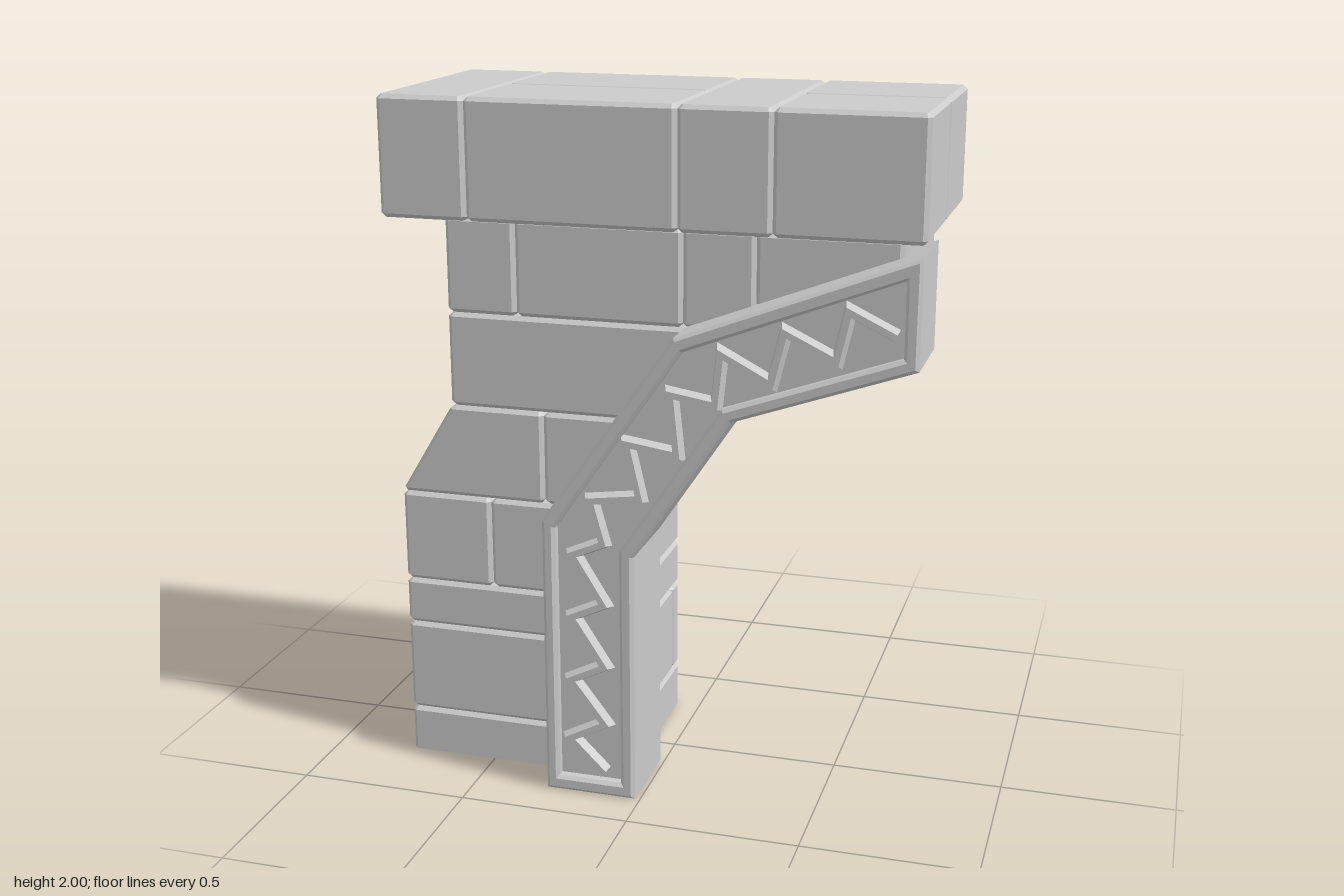
import * as THREE from 'three';

const stone = new THREE.MeshStandardMaterial({ color: 0xcccccc, flatShading: true });
const openStone = new THREE.MeshStandardMaterial({ color: 0xcccccc, flatShading: true, side: THREE.DoubleSide });
const BEVEL = 0.012;

function meshFrom(positions, name, material) {
  const geometry = new THREE.BufferGeometry();
  geometry.setAttribute('position', new THREE.Float32BufferAttribute(positions, 3));
  geometry.computeVertexNormals();
  const mesh = new THREE.Mesh(geometry, material);
  mesh.name = name;
  return mesh;
}

// Bevelled block; left and right ends may slant from bottom to top.
function brick([l0, l1], [r0, r1], y0, y1, z0, z1, openBottom) {
  const b = BEVEL, out = [];
  const ring = (y, inset) => {
    const t = (y - y0) / (y1 - y0), c = inset ? b / 3 : b;
    const l = l0 + (l1 - l0) * t + inset, r = r0 + (r1 - r0) * t - inset;
    const k = z0 + inset, f = z1 - inset;
    return [[l + c, f], [r - c, f], [r, f - c], [r, k + c], [r - c, k], [l + c, k], [l, k + c], [l, f - c]]
      .map(([x, z]) => [x, y, z]);
  };
  const rings = [ring(y0, openBottom ? 0 : b), ring(y0 + b, 0), ring(y1 - b, 0), ring(y1, b)];
  for (let j = 0; j < 3; j++) {
    for (let i = 0; i < 8; i++) {
      const n = (i + 1) % 8, lo = rings[j], hi = rings[j + 1];
      out.push(...lo[i], ...lo[n], ...hi[n], ...lo[i], ...hi[n], ...hi[i]);
    }
  }
  for (let i = 1; i < 7; i++) {
    out.push(...rings[3][0], ...rings[3][i], ...rings[3][i + 1]);
    if (!openBottom) out.push(...rings[0][0], ...rings[0][i + 1], ...rings[0][i]);
  }
  return meshFrom(out, 'brick', openBottom ? openStone : stone);
}

// Raised ridge with a trapezoid section following a mitred path.
function ridge(points, z, width, height) {
  const pts = points.map(([x, y]) => new THREE.Vector2(x, y));
  const rows = pts.map((p, i) => {
    const a = p.clone().sub(pts[Math.max(i - 1, 0)]).normalize();
    const c = pts[Math.min(i + 1, pts.length - 1)].clone().sub(p).normalize();
    if (i === 0) a.copy(c);
    if (i === pts.length - 1) c.copy(a);
    const na = new THREE.Vector2(-a.y, a.x), nc = new THREE.Vector2(-c.y, c.x);
    const m = na.clone().add(nc).normalize();
    m.divideScalar(m.dot(na));
    return [[1, 0], [0.5, height], [-0.5, height], [-1, 0]]
      .map(([s, h]) => [p.x + m.x * s * width, p.y + m.y * s * width, z + h]);
  });
  const out = [];
  for (let i = 0; i < rows.length - 1; i++) {
    const A = rows[i], B = rows[i + 1];
    for (let k = 0; k < 3; k++) out.push(...A[k], ...A[k + 1], ...B[k + 1], ...A[k], ...B[k + 1], ...B[k]);
  }
  const s = rows[0], e = rows[rows.length - 1];
  out.push(...s[0], ...s[2], ...s[1], ...s[0], ...s[3], ...s[2]);
  out.push(...e[0], ...e[1], ...e[2], ...e[0], ...e[2], ...e[3]);
  return meshFrom(out, 'zigzagRidge', stone);
}

export function createModel() {
  const model = new THREE.Group();
  model.name = 'corbelledStonePillar';

  // Courses: name, y range, slanting left and right ends, bricks as [left, right, back, front]
  const L = 'L', R = 'R', B = -0.303, F = 0.242, M = -0.031;
  const capB = -0.377, capF = 0.308;
  const footL = [-0.765, -0.765], footR = [-0.075, -0.075];
  const courses = [
    ['baseCourse', 0, 0.14, footL, footR,
      [[L, R, 0.2, F], [L, -0.28, B, 0.2], [-0.28, R, B, 0.2]]],
    ['secondCourse', 0.14, 0.42, footL, footR,
      [[L, R, B, -0.24], [L, -0.29, -0.24, F], [-0.29, R, -0.24, F]]],
    ['thinCourse', 0.42, 0.56, footL, footR,
      [[L, R, B, M], [L, R, M, F]]],
    ['fourthCourse', 0.56, 0.835, footL, footR,
      [[L, -0.49, B, F], [-0.49, R, B, M], [-0.49, R, M, F]]],
    ['leaningCourse', 0.835, 1.11, [-0.768, -0.602], [-0.075, 0.092],
      [[L, R, B, -0.24], [L, -0.322, -0.24, F], [-0.322, R, -0.24, F]]],
    ['flaredCourse', 1.11, 1.385, [-0.602, -0.602], [0.092, 0.49],
      [[L, R, 0.2, F], [L, -0.33, B, 0.2], [-0.33, R, B, M], [-0.33, R, M, 0.2]]],
    ['upperCourse', 1.385, 1.66, [-0.602, -0.602], [0.694, 0.694],
      [[L, -0.395, B, F], [-0.395, 0.09, B, F], [0.09, 0.295, B, F], [0.295, R, B, M], [0.295, R, M, F]]],
    ['capCourse', 1.66, 2, [-0.765, -0.765], [0.762, 0.762],
      [[L, -0.51, capB, capF], [-0.51, 0.092, capB, M], [-0.51, 0.092, M, capF],
        [0.092, 0.352, capB, capF], [0.352, R, capB, M], [0.352, R, M, capF]]],
  ];
  for (const [name, y0, y1, left, right, bricks] of courses) {
    const course = new THREE.Group();
    course.name = name;
    for (const [l, r, z0, z1] of bricks) {
      course.add(brick(l === L ? left : [l, l], r === R ? right : [r, r], y0, y1, z0, z1, y0 === 0));
    }
    model.add(course);
  }

  // Bent bracket on the front: solid body with a bevelled rim around a recess
  const bracket = new THREE.Group();
  bracket.name = 'bracket';
  const toPoints = (list) => list.map(([x, y]) => new THREE.Vector2(x, y));
  const outer = toPoints([[-0.015, 0], [-0.015, 0.748], [0.262, 1.165], [0.763, 1.342],
    [0.763, 1.642], [0.1, 1.388], [-0.284, 0.835], [-0.284, 0]]);
  const inner = toPoints([[-0.057, 0.045], [-0.057, 0.765], [0.235, 1.2], [0.722, 1.373],
    [0.722, 1.58], [0.125, 1.35], [-0.245, 0.815], [-0.245, 0.045]]);
  const body = new THREE.Mesh(
    new THREE.ExtrudeGeometry(new THREE.Shape(outer), { depth: 0.237, bevelEnabled: false }), stone);
  body.name = 'bracketBody';
  body.position.z = 0.108;
  const rimShape = new THREE.Shape(outer);
  rimShape.holes.push(new THREE.Path(inner.slice().reverse()));
  const rim = new THREE.Mesh(new THREE.ExtrudeGeometry(rimShape, {
    depth: 0.03, bevelThickness: 0.01, bevelSize: 0.01, bevelOffset: -0.01, bevelSegments: 1,
  }), stone);
  rim.name = 'bracketRim';
  rim.position.z = 0.336;

  // Zigzag ornament
  const zigzag = ridge([[-0.108, 0.07], [-0.21, 0.17], [-0.105, 0.225], [-0.205, 0.355], [-0.105, 0.405],
    [-0.2, 0.55], [-0.105, 0.595], [-0.195, 0.74], [-0.105, 0.78], [-0.14, 0.905], [0.003, 0.925],
    [-0.033, 1.08], [0.11, 1.06], [0.092, 1.23], [0.217, 1.21], [0.232, 1.352], [0.37, 1.28],
    [0.405, 1.422], [0.545, 1.355], [0.575, 1.49], [0.7, 1.43]], 0.345, 0.018, 0.028);
  bracket.add(body, rim, zigzag);
  model.add(bracket);
  return model;
}
